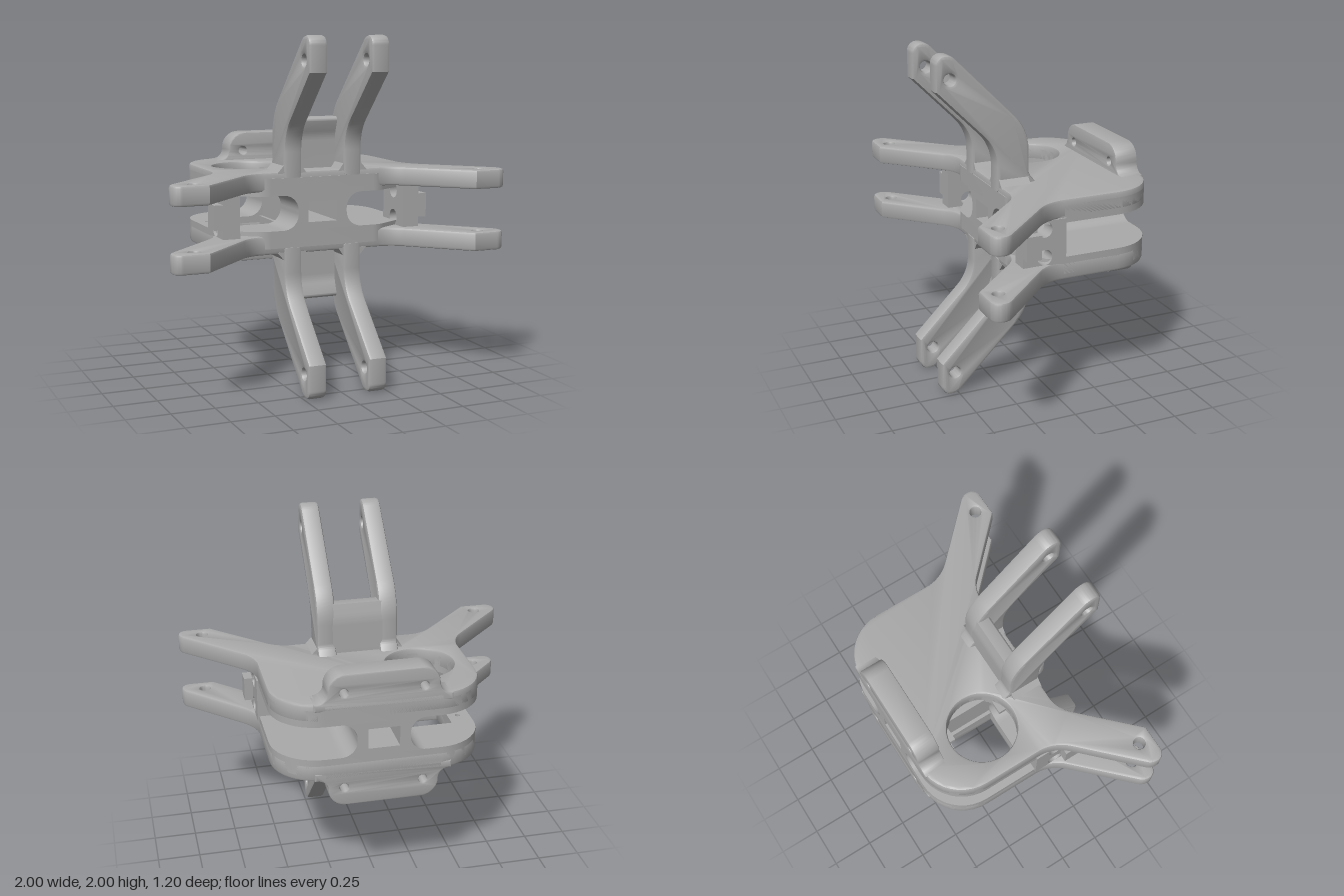
import * as THREE from 'three';
import { toCreasedNormals } from 'three/addons/utils/BufferGeometryUtils.js';

const grey = new THREE.MeshStandardMaterial({ color: 0xaaaaaa });
grey.name = 'grey metal';

// Closed outline from corners [x, y, radius], each rounded by a tangent arc
function outline(corners) {
  const pts = [];
  const n = corners.length;
  corners.forEach(([x, y, r], i) => {
    const p = new THREE.Vector2(x, y);
    if (!r) { pts.push(p); return; }
    const a = new THREE.Vector2(...corners[(i + n - 1) % n].slice(0, 2)).sub(p).normalize();
    const b = new THREE.Vector2(...corners[(i + 1) % n].slice(0, 2)).sub(p).normalize();
    const half = Math.acos(THREE.MathUtils.clamp(a.dot(b), -1, 1)) / 2;
    const t = r / Math.tan(half);
    const c = p.clone().add(a.clone().add(b).normalize().multiplyScalar(r / Math.sin(half)));
    const from = p.clone().addScaledVector(a, t).sub(c).angle();
    let sweep = p.clone().addScaledVector(b, t).sub(c).angle() - from;
    if (sweep > Math.PI) sweep -= 2 * Math.PI;
    if (sweep < -Math.PI) sweep += 2 * Math.PI;
    for (let k = 0; k <= 10; k++) {
      const g = from + sweep * k / 10;
      pts.push(new THREE.Vector2(c.x + r * Math.cos(g), c.y + r * Math.sin(g)));
    }
  });
  return pts;
}

function circle(x, y, r, n = 24) {
  return Array.from({ length: n }, (_, i) => {
    const a = i / n * Math.PI * 2;
    return new THREE.Vector2(x + r * Math.cos(a), y + r * Math.sin(a));
  });
}

const rect = (x, y, w, h) => outline([
  [x - w / 2, y - h / 2], [x + w / 2, y - h / 2], [x + w / 2, y + h / 2], [x - w / 2, y + h / 2]]);

// Completes a right-hand half outline with its mirror image
const mirrored = (half) => [...half, ...half.map(([x, y, r]) => [-x, y, r]).reverse()];

// Extrusion from 0 to depth with softened edges
function prism(points, holes, depth, bevel = 0) {
  const shape = new THREE.Shape(points);
  shape.holes = holes.map((h) => new THREE.Path(h));
  const g = new THREE.ExtrudeGeometry(shape, {
    depth: depth - 2 * bevel, bevelEnabled: bevel > 0, bevelThickness: bevel,
    bevelSize: bevel, bevelOffset: -bevel, bevelSegments: 2,
  });
  return g.translate(0, 0, bevel);
}

function add(parent, name, geometry) {
  const m = new THREE.Mesh(toCreasedNormals(geometry, 0.5), grey);
  m.name = name;
  parent.add(m);
}

// Orientation: outline drawn in (x, -z), thickness upward
const lay = (g, y) => g.rotateX(-Math.PI / 2).translate(0, y, 0);
// Orientation: outline drawn in (z, y), thickness along x up to the given x
const side = (g, x) => g.rotateY(-Math.PI / 2).translate(x, 0, 0);

// One half of the bracket: plate with side arms, fork and rear flange
function makeHalf(name, openings) {
  const half = new THREE.Group();
  half.name = name;
  const flip = (c) => c.map(([x, z, r]) => [x, -z, r]);

  // Plate and its two side arms
  const plate = mirrored([
    [0.6, -0.6, 0.27], [0.6, 0.11, 0.25], [1, 0.51, 0.08], [1, 0.6, 0.055],
    [0.8, 0.6], [0.44, 0.24, 0.2]]);
  const boltHoles = [circle(0.86, -0.515, 0.032), circle(-0.86, -0.515, 0.032)];
  add(half, 'armPlate', lay(prism(outline(flip(plate)), [...openings, ...boltHoles], 0.11, 0.015), 0.125));

  // Thicker body on the inner face
  const pad = mirrored([[0.6, -0.6, 0.27], [0.6, 0.1, 0.05], [0.36, 0.245, 0.15]]);
  add(half, 'plateBody', lay(prism(outline(flip(pad)), openings, 0.1), 0.1));

  // Fork prongs with bolt holes and flared feet
  const prong = outline([
    [0.25, 0.2], [0.25, 0.45, 0.25], [0.6, 0.8], [0.6, 1, 0.055], [0.51, 1, 0.08],
    [0.05, 0.54, 0.3], [0.05, 0.28, 0.05], [0, 0.22], [0, 0.2]]);
  for (const s of [1, -1]) {
    add(half, 'forkProng', side(prism(prong, [circle(0.52, 0.865, 0.032)], 0.11, 0.018), s * 0.185 + 0.055));
    const foot = outline([[0.1, 0.225], [0.28, 0.225], [0.235, 0.275], [0.135, 0.275]]
      .map(([x, y]) => [x * s, y]));
    add(half, 'prongFoot', prism(foot, [], 0.18).translate(0, 0, 0.06));
  }

  // Web joining the prongs
  const web = outline([
    [0.12, 0.2], [0.12, 0.42, 0.15], [0.16, 0.53, 0.02], [0.073, 0.53],
    [0.05, 0.44, 0.3], [0.05, 0.2]]);
  add(half, 'forkWeb', side(prism(web, [], 0.32), 0.16));

  // Rear mounting flange
  const flange = mirrored([[0.39, 0.19], [0.39, 0.235], [0.315, 0.235, 0.06], [0.315, 0.4, 0.1]]);
  const screws = [circle(0.225, 0.29, 0.025), circle(-0.225, 0.29, 0.025)];
  add(half, 'rearFlange', prism(outline(flange), screws, 0.14, 0.008).translate(0, 0, -0.6));
  return half;
}

export function createModel() {
  const model = new THREE.Group();
  model.name = 'bracket';
  const body = new THREE.Group();
  body.name = 'bracketBody';
  body.position.y = 1;
  model.add(body);

  // Upper half has a round opening; the turned lower half a square one with screw holes
  body.add(makeHalf('upperHalf', [circle(-0.31, 0.18, 0.2, 48)]));
  const screws = [];
  for (const x of [0.53, 0.12]) for (const z of [0.1, 0.245]) screws.push(circle(x, z, 0.015, 12));
  const lower = makeHalf('lowerHalf', [rect(0.32, 0.18, 0.3, 0.3), ...screws]);
  lower.rotation.z = Math.PI;
  body.add(lower);

  // Central spine with a square tunnel; one flank is cut flat beside the opening
  const hollow = [[0.26, -0.13], [0.26, -0.1], [0.15, -0.1, 0.09], [0.15, 0.1, 0.09], [0.26, 0.1], [0.26, 0.13]];
  const flat = [[-0.15, 0.13], [-0.15, -0.13]];
  const hollowLeft = hollow.map(([x, y, r]) => [-x, y, r]).reverse();
  for (const [z0, z1, cut] of [[-0.6, -0.33, false], [-0.33, -0.03, true], [-0.03, 0.245, false]]) {
    const profile = outline([...hollow, ...(cut ? flat : hollowLeft)]);
    add(body, 'spine', prism(profile, [rect(0, 0, 0.18, 0.12)], z1 - z0).translate(0, 0, z0));
  }

  // Side pillars between the plates, notched, with an outer tab
  const pillar = outline([[0, -0.13], [0.26, -0.13], [0.26, 0.13], [0, 0.13]]);
  const notches = [circle(0.13, 0.08, 0.045), circle(0.13, -0.08, 0.045)];
  for (const s of [1, -1]) {
    add(body, 'sidePillar', side(prism(pillar, notches, 0.1), s * 0.56 + 0.05));
    add(body, 'pillarTab', new THREE.BoxGeometry(0.07, 0.14, 0.09).translate(s * 0.625, 0, 0.215));
  }
  return model;
}
